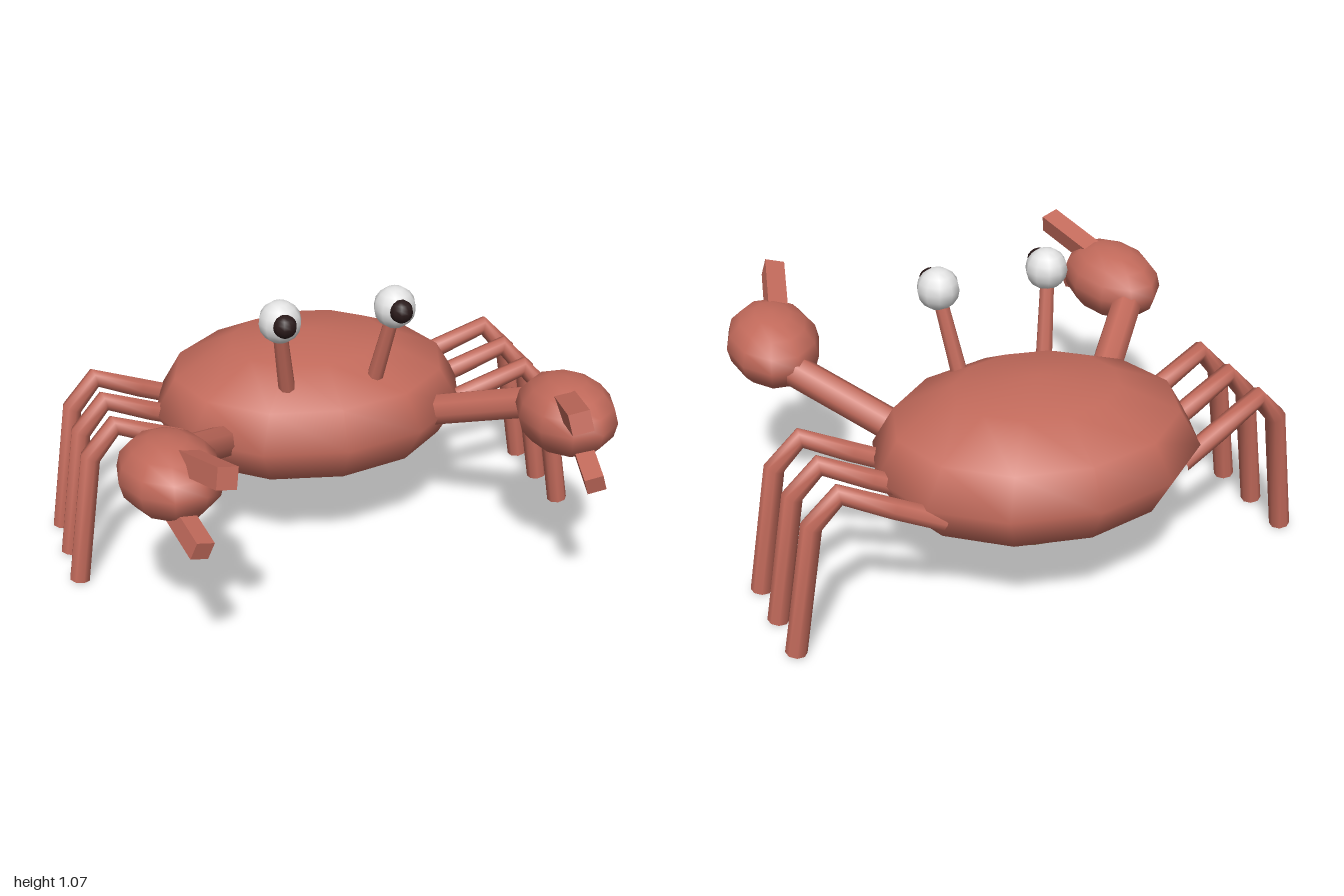
import * as THREE from 'three';

const mat = (name, color) => {
  const m = new THREE.MeshStandardMaterial({ color });
  m.name = name;
  return m;
};
const V = (x, y, z) => new THREE.Vector3(x, y, z);

export function createModel() {
  const crab = new THREE.Group();
  crab.name = 'crab';
  const shell = mat('shellRed', 0xc26a5b);
  const cream = mat('bellyTan', 0xd6b088);
  const white = mat('eyeWhite', 0xe4e4e4);
  const black = mat('pupilBlack', 0x2a1a1a);

  const add = (name, geometry, material, parent = crab) => {
    const mesh = new THREE.Mesh(geometry, material);
    mesh.name = name;
    parent.add(mesh);
    return mesh;
  };

  const ellipsoid = (name, material, centre, radii, w, h, parent) => {
    const g = new THREE.SphereGeometry(1, w, h).scale(...radii);
    const mesh = add(name, g, material, parent);
    mesh.position.copy(centre);
    return mesh;
  };

  // Straight round bar between two points
  const bar = (name, a, b, rA, rB, sides, parent) => {
    const mesh = add(name, new THREE.CylinderGeometry(rB, rA, a.distanceTo(b), sides), shell, parent);
    mesh.position.lerpVectors(a, b, 0.5);
    mesh.quaternion.setFromUnitVectors(V(0, 1, 0), b.clone().sub(a).normalize());
  };

  // Square finger between two points
  const finger = (name, a, b, size, roll, parent) => {
    const mesh = add(name, new THREE.BoxGeometry(size, size, a.distanceTo(b)), shell, parent);
    mesh.position.lerpVectors(a, b, 0.5);
    mesh.lookAt(b);
    mesh.rotateZ(roll);
  };

  // Body, with the belly just breaking through the underside
  ellipsoid('body', shell, V(0, 0.51, -0.31), [0.6, 0.27, 0.5], 12, 6);
  ellipsoid('belly', cream, V(0, 0.445, -0.315), [0.522, 0.2, 0.435], 16, 6);

  for (const s of [1, -1]) {
    const side = s > 0 ? 'left' : 'right';

    // Three bent legs with flat feet
    [-0.06, -0.26, -0.46].forEach((z, i) => {
      const leg = new THREE.Group();
      leg.name = `${side}Leg${i + 1}`;
      crab.add(leg);
      const path = new THREE.CatmullRomCurve3([
        V(s * 0.45, 0.45, z - 0.09), V(s * 0.62, 0.525, z - 0.06), V(s * 0.79, 0.605, z - 0.03),
        V(s * 0.885, 0.5, z - 0.015), V(s * 0.962, 0.008, z),
      ]);
      path.getUtoTmapping = (u) => u; // rings sit exactly on the joints
      add('legTube', new THREE.TubeGeometry(path, 4, 0.038, 8), shell, leg);
      const foot = add('foot', new THREE.CircleGeometry(0.038, 8), shell, leg);
      foot.position.set(s * 0.962, 0.008, z);
      foot.lookAt(foot.position.clone().add(path.getTangent(1)));
    });

    // Claw: arm, palm and two fingers
    const claw = new THREE.Group();
    claw.name = `${side}Claw`;
    crab.add(claw);
    bar('arm', V(s * 0.4, 0.51, -0.03), V(s * 0.68, 0.66, 0.29), 0.06, 0.06, 8, claw);
    const palm = ellipsoid('palm', shell, V(s * 0.705, 0.697, 0.465), [0.172, 0.136, 0.235], 10, 8, claw);
    palm.rotation.set(-0.08, -s * 0.1, 0);
    finger('upperFinger', V(s * 0.675, 0.77, 0.5), V(s * 0.592, 0.843, 0.8), 0.073, s * 0.25, claw);
    finger('lowerFinger', V(s * 0.73, 0.65, 0.5), V(s * 0.675, 0.584, 0.78), 0.065, s * 0.3, claw);

    // Eye on a stalk
    const eye = new THREE.Group();
    eye.name = `${side}Eye`;
    crab.add(eye);
    bar('stalk', V(s * 0.168, 0.69, -0.022), V(s * 0.21, 0.96, 0.045), 0.031, 0.026, 8, eye);
    ellipsoid('eyeball', white, V(s * 0.211, 0.994, 0.056), [0.077, 0.077, 0.077], 10, 8, eye);
    ellipsoid('pupil', black, V(s * 0.212, 1.003, 0.122), [0.042, 0.042, 0.042], 10, 8, eye);
  }
  return crab;
}
